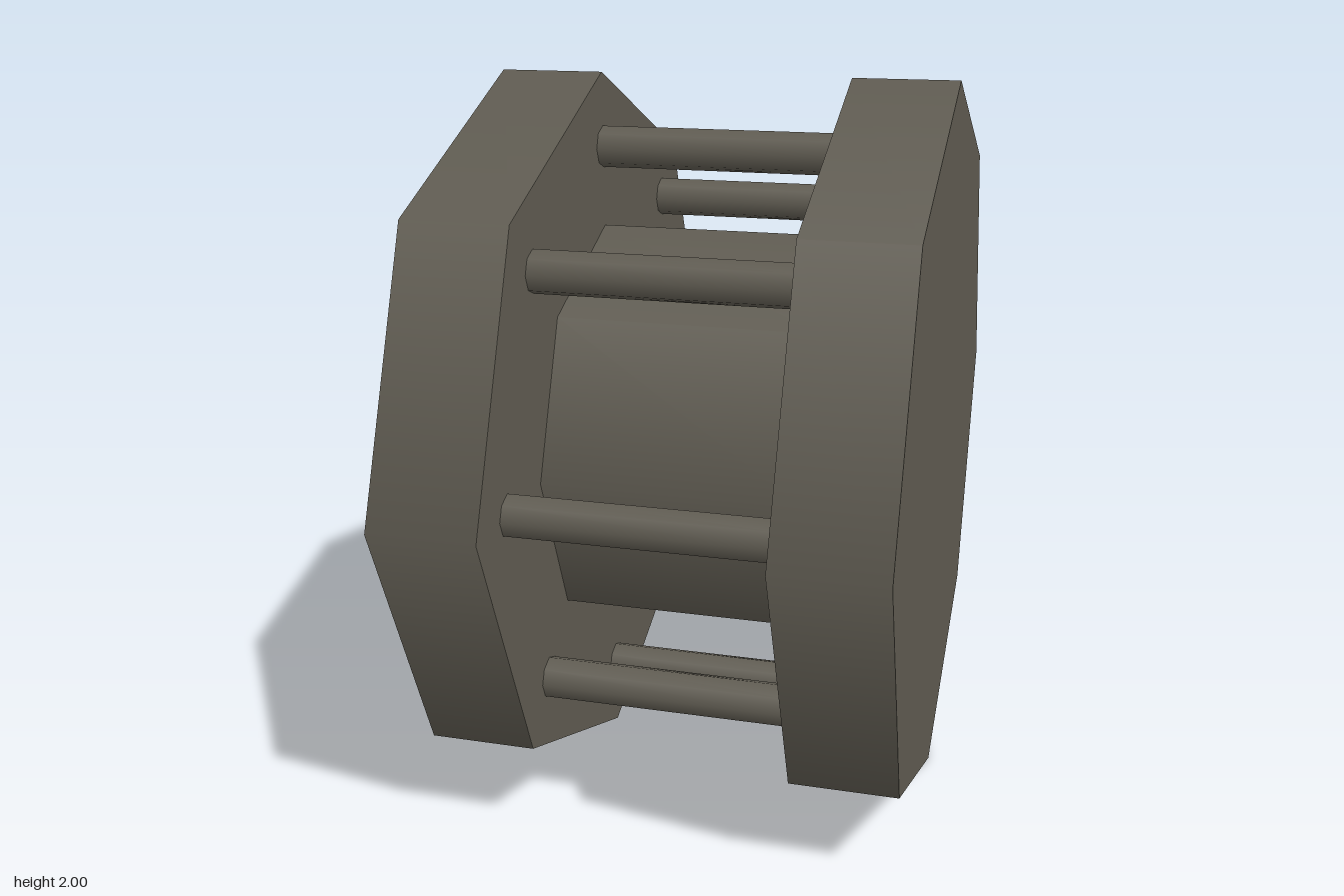
import * as THREE from 'three';

export function createModel() {
  const model = new THREE.Group();
  model.name = 'cagedSpool';

  const darkMetal = new THREE.MeshStandardMaterial({ color: 0x605c52 });
  darkMetal.name = 'darkMetal';

  const SIDES = 8, CENTRE_Y = 1, HALF_WIDTH = 0.635, INNER = 0.348;

  // Eight-sided bar lying along x
  function bar(name, radius, length, x, y, z) {
    const geometry = new THREE.CylinderGeometry(radius, radius, length, SIDES);
    geometry.rotateZ(-Math.PI / 2);
    const mesh = new THREE.Mesh(geometry, darkMetal);
    mesh.name = name;
    mesh.position.set(x, y, z);
    model.add(mesh);
  }

  // End discs
  const thickness = HALF_WIDTH - INNER;
  for (const side of [-1, 1]) {
    bar(side > 0 ? 'leftDisc' : 'rightDisc', 1, thickness, side * (INNER + thickness / 2), CENTRE_Y, 0);
  }

  // Central drum
  bar('drum', 0.576, INNER * 2, 0, CENTRE_Y, 0);

  // Ring of rods joining the discs, one towards each corner
  for (let i = 0; i < SIDES; i++) {
    const angle = (i / SIDES) * Math.PI * 2;
    bar('rod' + (i + 1), 0.057, INNER * 2, 0, CENTRE_Y + 0.797 * Math.cos(angle), 0.797 * Math.sin(angle));
  }

  return model;
}
